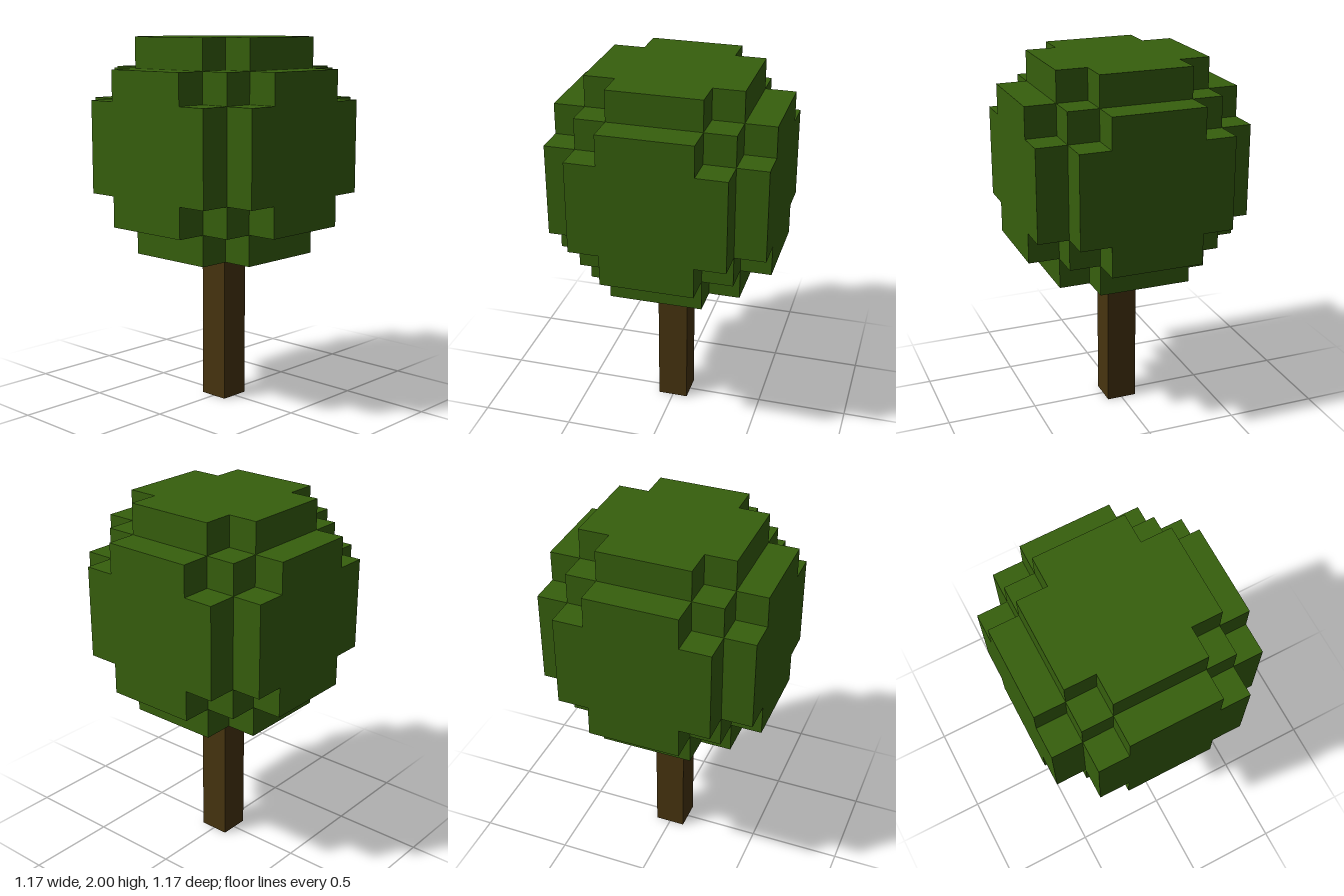
import * as THREE from 'three';

const U = 1 / 6; // edge of one block

export function createModel() {
  const leafGreen = new THREE.MeshStandardMaterial({ color: 0x365f0d });
  leafGreen.name = 'leafGreen';
  const barkBrown = new THREE.MeshStandardMaterial({ color: 0x47340f });
  barkBrown.name = 'barkBrown';

  const tree = new THREE.Group();
  tree.name = 'tree';

  // Trunk: one block wide, five blocks tall
  const trunk = new THREE.Mesh(new THREE.BoxGeometry(U, 5 * U, U), barkBrown);
  trunk.name = 'trunk';
  trunk.position.y = 2.5 * U;
  tree.add(trunk);

  // Canopy: a blocky ball made of a cube with a notched cap on each face
  const canopy = new THREE.Group();
  canopy.name = 'canopy';
  canopy.position.y = 8.5 * U;
  tree.add(canopy);

  const core = new THREE.Mesh(new THREE.BoxGeometry(5 * U, 5 * U, 5 * U), leafGreen);
  core.name = 'canopyCore';
  canopy.add(core);

  // Cap outline: five blocks square with the corner blocks removed
  const a = 1.5 * U, b = 2.5 * U;
  const outline = new THREE.Shape([
    [b, -a], [b, a], [a, a], [a, b], [-a, b], [-a, a],
    [-b, a], [-b, -a], [-a, -a], [-a, -b], [a, -b], [a, -a],
  ].map(([x, y]) => new THREE.Vector2(x, y)));
  const capGeometry = new THREE.ExtrudeGeometry(outline, { depth: U, bevelEnabled: false });
  capGeometry.translate(0, 0, b);

  const caps = {
    frontCap: [0, 0],
    leftCap: [0, Math.PI / 2],
    backCap: [0, Math.PI],
    rightCap: [0, -Math.PI / 2],
    topCap: [-Math.PI / 2, 0],
    bottomCap: [Math.PI / 2, 0],
  };
  for (const [name, [rx, ry]] of Object.entries(caps)) {
    const cap = new THREE.Mesh(capGeometry, leafGreen);
    cap.name = name;
    cap.rotation.set(rx, ry, 0);
    canopy.add(cap);
  }

  return tree;
}
